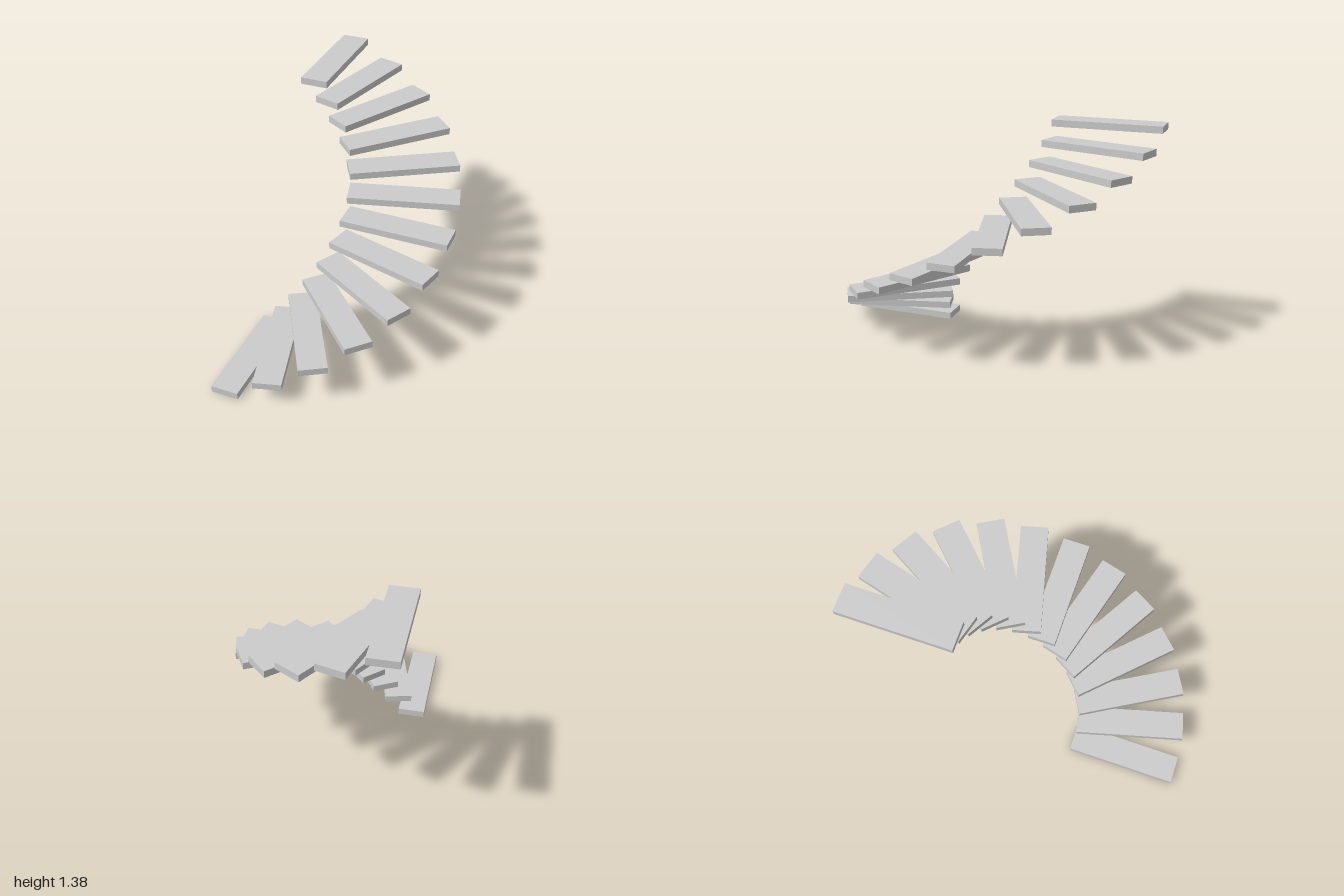
import * as THREE from 'three';

const STEPS = 13;
const WIDTH = 1 / 6, THICKNESS = 1 / 24, LENGTH = 2 / 3;
const INNER_RADIUS = 1 / 3; // from the stair axis to the inner end of a tread
const RISE = 1 / 9;
const AXIS_X = -11 / 24;    // centres the half turn on x = 0

export function createModel() {
  const stair = new THREE.Group();
  stair.name = 'spiralStair';
  const material = new THREE.MeshStandardMaterial({ color: 0xcccccc, flatShading: true });

  // One plank, offset so that its origin lies on the stair axis
  const plank = new THREE.BoxGeometry(WIDTH, THICKNESS, LENGTH);
  plank.translate(0, THICKNESS / 2, INNER_RADIUS + LENGTH / 2);

  // Floating treads, climbing through a half turn from front to back
  for (let i = 0; i < STEPS; i++) {
    const tread = new THREE.Mesh(plank, material);
    tread.name = `tread${i + 1}`;
    tread.position.set(AXIS_X, i * RISE, 0);
    tread.rotation.y = (i / (STEPS - 1)) * Math.PI;
    stair.add(tread);
  }
  return stair;
}
